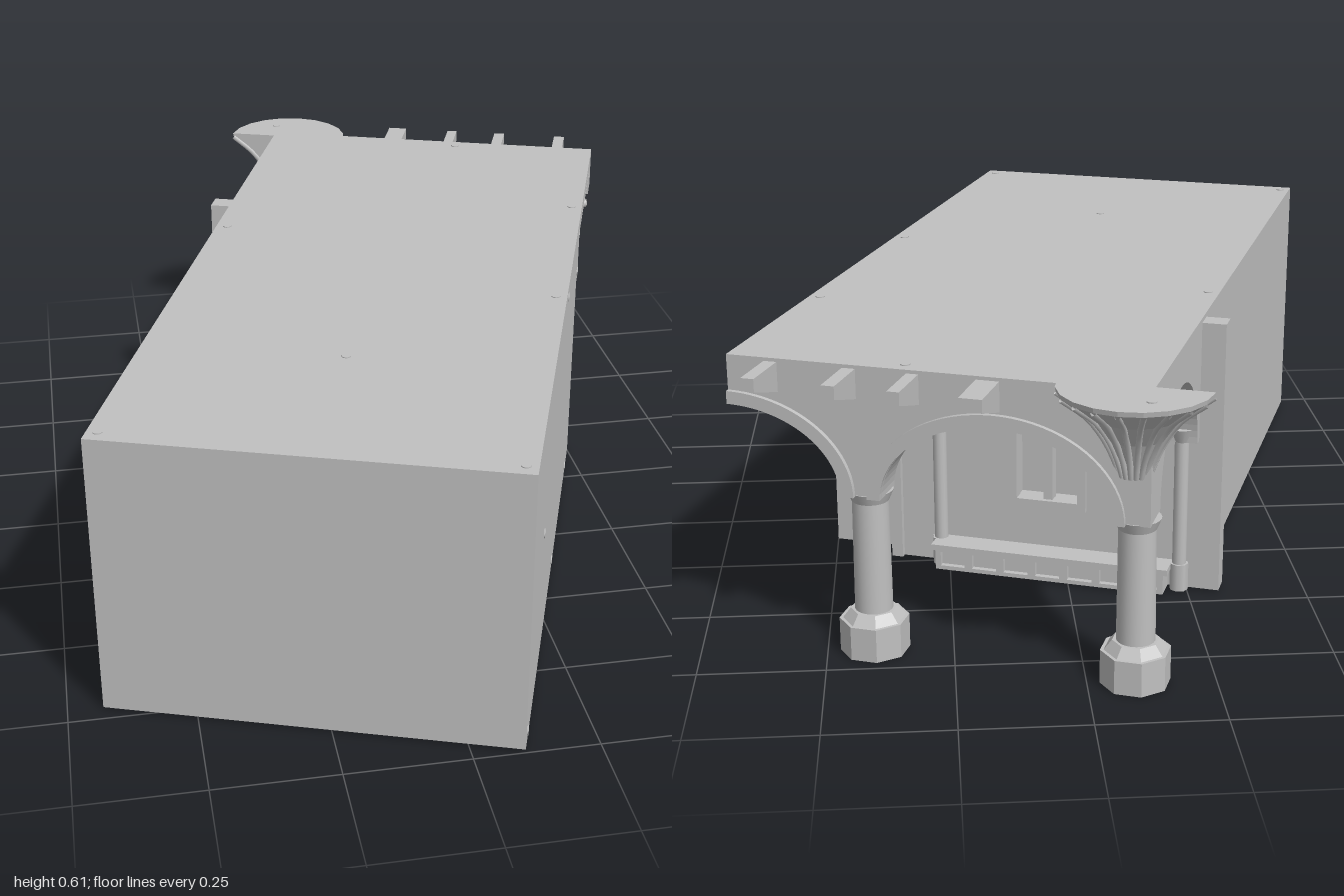
import * as THREE from 'three';

const W = 0.83, TOP = 0.605, FLOOR = 0.005;       // width across, roof and floor heights
const NICHE = 1.19, WALL = 1.235, BACK = 1.705;    // depths measured from the front face
const COL_A = [0.034, 0.564], COL_B = 1.662, SPRING = 0.34, RISE = 0.225;

export function createModel() {
  const stone = new THREE.MeshStandardMaterial({ color: 0xc0c0c0 });
  stone.name = 'stone';
  stone.side = THREE.DoubleSide;
  const model = new THREE.Group();
  model.name = 'vaultedArcadeBuilding';
  const plan = new THREE.Group();                  // local x runs across, local -z runs to the back
  plan.name = 'building';
  plan.position.set(-0.68, 0, 0.72);
  plan.rotation.y = -0.34;
  model.add(plan);

  const add = (name, geo, x = 0, y = 0, z = 0) => {
    const mesh = new THREE.Mesh(geo, stone);
    mesh.name = name;
    mesh.position.set(x, y, z);
    plan.add(mesh);
    return mesh;
  };
  const flat = (geo) => {
    const g = geo.index ? geo.toNonIndexed() : geo;
    g.computeVertexNormals();
    return g;
  };
  const box = (name, a0, a1, y0, y1, b0, b1) =>
    add(name, new THREE.BoxGeometry(a1 - a0, y1 - y0, b1 - b0), (a0 + a1) / 2, (y0 + y1) / 2, -(b0 + b1) / 2);
  const slabOf = (shape, depth) =>
    new THREE.ExtrudeGeometry(shape, { depth, bevelEnabled: false, curveSegments: 20 });
  const rectHole = (x0, x1, y0, y1) => new THREE.Path([
    new THREE.Vector2(x0, y0), new THREE.Vector2(x0, y1), new THREE.Vector2(x1, y1), new THREE.Vector2(x1, y0)]);
  const rect = (x0, x1, y0, y1) => new THREE.Shape(rectHole(x0, x1, y0, y1).getPoints());

  // Main block and roof over the arcade
  box('mainBlock', 0, W, FLOOR, TOP, 0, NICHE);
  box('arcadeRoof', 0, W, 0.57, TOP, NICHE, BACK);
  box('sidePilaster', -0.05, 0, FLOOR, 0.595, 1.19, 1.235);

  // Rear wall layer with a half niche at one end and a window opening
  const wall = new THREE.Shape();
  wall.moveTo(0, FLOOR);
  wall.lineTo(W - 0.15, FLOOR);
  wall.lineTo(W - 0.15, 0.305);
  wall.absarc(W, 0.305, 0.15, Math.PI, Math.PI / 2, true);
  wall.lineTo(W, 0.57);
  wall.lineTo(0, 0.57);
  wall.holes.push(rectHole(0.255, 0.395, 0.17, 0.44));
  add('rearWall', slabOf(wall, WALL - NICHE), 0, 0, -WALL);

  // Raised moulding around the niche
  const trim = new THREE.Shape();
  trim.moveTo(W - 0.175, FLOOR);
  trim.lineTo(W - 0.15, FLOOR);
  trim.lineTo(W - 0.15, 0.305);
  trim.absarc(W, 0.305, 0.15, Math.PI, Math.PI / 2, true);
  trim.lineTo(W, 0.48);
  trim.absarc(W, 0.305, 0.175, Math.PI / 2, Math.PI, false);
  add('nicheMoulding', slabOf(trim, 0.012), 0, 0, -WALL - 0.012);

  // Window surround and glazing bars
  const frame = rect(0.24, 0.41, 0.155, 0.455);
  frame.holes.push(rectHole(0.258, 0.392, 0.173, 0.437));
  add('windowFrame', slabOf(frame, 0.03), 0, 0, -WALL - 0.01);
  box('windowMullion', 0.315, 0.335, 0.17, 0.44, WALL - 0.03, WALL);
  box('windowTransom', 0.255, 0.395, 0.335, 0.35, WALL - 0.03, WALL - 0.003);

  // Bench with a panelled front
  box('bench', 0.06, 0.565, FLOOR, 0.058, WALL, 1.275);
  box('benchSeat', 0.05, 0.572, 0.052, 0.065, WALL, 1.295);
  const panel = rect(0.06, 0.565, FLOOR, 0.053);
  for (let i = 0; i < 7; i++) panel.holes.push(rectHole(0.073 + i * 0.071, 0.127 + i * 0.071, 0.014, 0.046));
  add('benchPanels', slabOf(panel, 0.012), 0, 0, -1.287);

  // Arcade wall: one full arch and one half arch cut off at the end
  const arcade = new THREE.Shape();
  arcade.moveTo(0, TOP);
  arcade.lineTo(0, SPRING);
  arcade.lineTo(0.074, SPRING);
  arcade.absellipse(0.299, SPRING, 0.225, 0.168, Math.PI, 0, true);
  arcade.lineTo(0.604, SPRING);
  arcade.absellipse(W, SPRING, 0.226, 0.168, Math.PI, Math.PI / 2, true);
  arcade.lineTo(W, TOP);
  add('arcadeWall', slabOf(arcade, 0.07), 0, 0, -BACK);

  // Raised band along the outside of the arches
  const band = (c, from, to) => {
    const s = new THREE.Shape();
    s.absellipse(c, SPRING, 0.226, 0.168, from, to, true);
    s.absellipse(c, SPRING, 0.252, 0.194, to, from, false);
    add('archBand', slabOf(s, 0.012), 0, 0, -BACK - 0.01);
  };
  band(0.299, Math.PI, 0);
  band(W, Math.PI, Math.PI / 2);

  // Side arch at the open end
  const side = new THREE.Shape();
  side.moveTo(WALL, 0.57);
  side.lineTo(WALL, SPRING);
  side.lineTo(1.255, SPRING);
  side.absellipse(1.438, SPRING, 0.183, 0.185, Math.PI, 0, true);
  side.lineTo(1.64, SPRING);
  side.lineTo(1.64, 0.57);
  const sideArch = slabOf(side, 0.06);
  sideArch.rotateY(Math.PI / 2);
  add('sideArch', sideArch);

  // Columns with octagonal bases, and thin shafts against the wall
  for (const a of COL_A) {
    const base = new THREE.CylinderGeometry(0.069, 0.069, 0.07, 8);
    base.rotateY(Math.PI / 8);
    add('columnBase', flat(base), a, 0.035, -COL_B);
    const step = new THREE.CylinderGeometry(0.046, 0.062, 0.02, 8);
    step.rotateY(Math.PI / 8);
    add('columnBaseSlope', flat(step), a, 0.08, -COL_B);
    add('columnShaft', new THREE.CylinderGeometry(0.036, 0.038, 0.25, 24), a, 0.205, -COL_B);
    add('columnCapital', new THREE.CylinderGeometry(0.046, 0.037, 0.022, 24), a, 0.331, -COL_B);
    add('wallShaft', new THREE.CylinderGeometry(0.015, 0.015, 0.33, 14), a, 0.195, -WALL - 0.01);
    add('wallShaftBase', new THREE.CylinderGeometry(0.02, 0.02, 0.06, 8), a, 0.035, -WALL - 0.01);
    add('wallShaftCapital', new THREE.CylinderGeometry(0.026, 0.015, 0.03, 14), a, 0.355, -WALL - 0.01);
  }

  // Groin vaults: the higher of two crossing barrels
  const bMid = (WALL + 1.64) / 2, bHalf = (1.64 - WALL) / 2, aHalf = 0.265;
  const arc = (s) => RISE * Math.sqrt(Math.max(0, 1 - s * s));
  const vaultPoint = (c, s, t) =>
    new THREE.Vector3(c + s * aHalf, SPRING + Math.max(arc(s), arc(t)), -(bMid + t * bHalf));
  const vault = (c, s1) => {
    const geo = new THREE.PlaneGeometry(1, 1, 28, 28), p = geo.attributes.position;
    for (let i = 0; i < p.count; i++) {
      const u = -Math.PI / 2 + (p.getX(i) + 0.5) * (s1 ? Math.PI : Math.PI / 2);
      const v = vaultPoint(c, Math.sin(u), Math.sin(p.getY(i) * Math.PI));
      p.setXYZ(i, v.x, v.y, v.z);
    }
    add('vault', flat(geo));
  };
  vault(0.299, true);
  vault(W, false);

  // Ribs along the groins, the wall and between the bays
  const rib = (c, fs, ft, u0, u1, r = 0.011) => {
    const pts = [];
    for (let i = 0; i <= 20; i++) {
      const u = Math.sin((u0 + (u1 - u0) * i / 20) * Math.PI / 2);
      const v = new THREE.Vector3(c + fs(u) * aHalf, SPRING + arc(u) - 0.004, -(bMid + ft(u) * bHalf));
      pts.push(v);
    }
    add('vaultRib', new THREE.TubeGeometry(new THREE.CatmullRomCurve3(pts), 28, r, 8));
  };
  for (const [c, end] of [[0.299, 1], [W, 0]]) {
    rib(c, (u) => u, (u) => u, -1, end);
    rib(c, (u) => u, (u) => -u, -1, end);
    rib(c, (u) => u, () => -0.97, -1, end);
  }
  rib(0.564, () => 0, (u) => u, -1, 1, 0.02);

  // Fluted half funnel over the corner column
  const profile = [[0.03, 0.435], [0.04, 0.465], [0.062, 0.51], [0.095, 0.555], [0.145, 0.595], [0.147, TOP]]
    .map(([r, y]) => new THREE.Vector2(r, y));
  const fa = 0.037, fb = 1.68;
  add('cornerFunnel', flat(new THREE.LatheGeometry([...profile, new THREE.Vector2(0, TOP)], 10, Math.PI / 2, Math.PI)), fa, 0, -fb);
  const outline = new THREE.Shape([...profile, ...profile.map((p) => new THREE.Vector2(-p.x, p.y)).reverse()]);
  add('cornerFunnelBack', new THREE.ShapeGeometry(outline), fa, 0, -fb);
  for (let i = 0; i <= 10; i++) {
    const phi = Math.PI / 2 + Math.PI * i / 10;
    const pts = profile.slice(0, 5).map((p) => new THREE.Vector3(p.x * Math.sin(phi), p.y, p.x * Math.cos(phi)));
    add('funnelRib', new THREE.TubeGeometry(new THREE.CatmullRomCurve3(pts), 10, 0.006, 6), fa, 0, -fb);
  }

  // Tapered rafter ends along the back edge
  const rafter = new THREE.Shape([[BACK - 0.01, 0.598], [1.81, 0.598], [1.81, 0.572], [1.78, 0.562], [BACK - 0.01, 0.535]]
    .map(([x, y]) => new THREE.Vector2(x, y)));
  for (const [a, w] of [[0.31, 0.045], [0.456, 0.024], [0.582, 0.026], [0.74, 0.026]]) {
    const geo = slabOf(rafter, w);
    geo.rotateY(Math.PI / 2);
    add('rafterEnd', geo, a - w / 2, 0, 0);
  }

  // Small round studs on the roof and the closed long side
  const stud = new THREE.CylinderGeometry(0.01, 0.01, 0.004, 12);
  for (const [a, b] of [[0.022, 0.03], [0.806, 0.03], [0.416, 0.412], [0.806, 0.767], [0.806, 1.292], [0.48, 1.675], [0.025, 1.042], [-0.01, 1.76]])
    add('roofStud', stud, a, TOP, -b);
  for (const [b, y] of [[0.028, 0.03], [0.636, 0.03], [1.06, 0.03], [0.297, 0.305], [0.827, 0.578], [1.198, 0.48]])
    add('sideStud', stud, W, y, -b).rotation.z = Math.PI / 2;

  return model;
}
